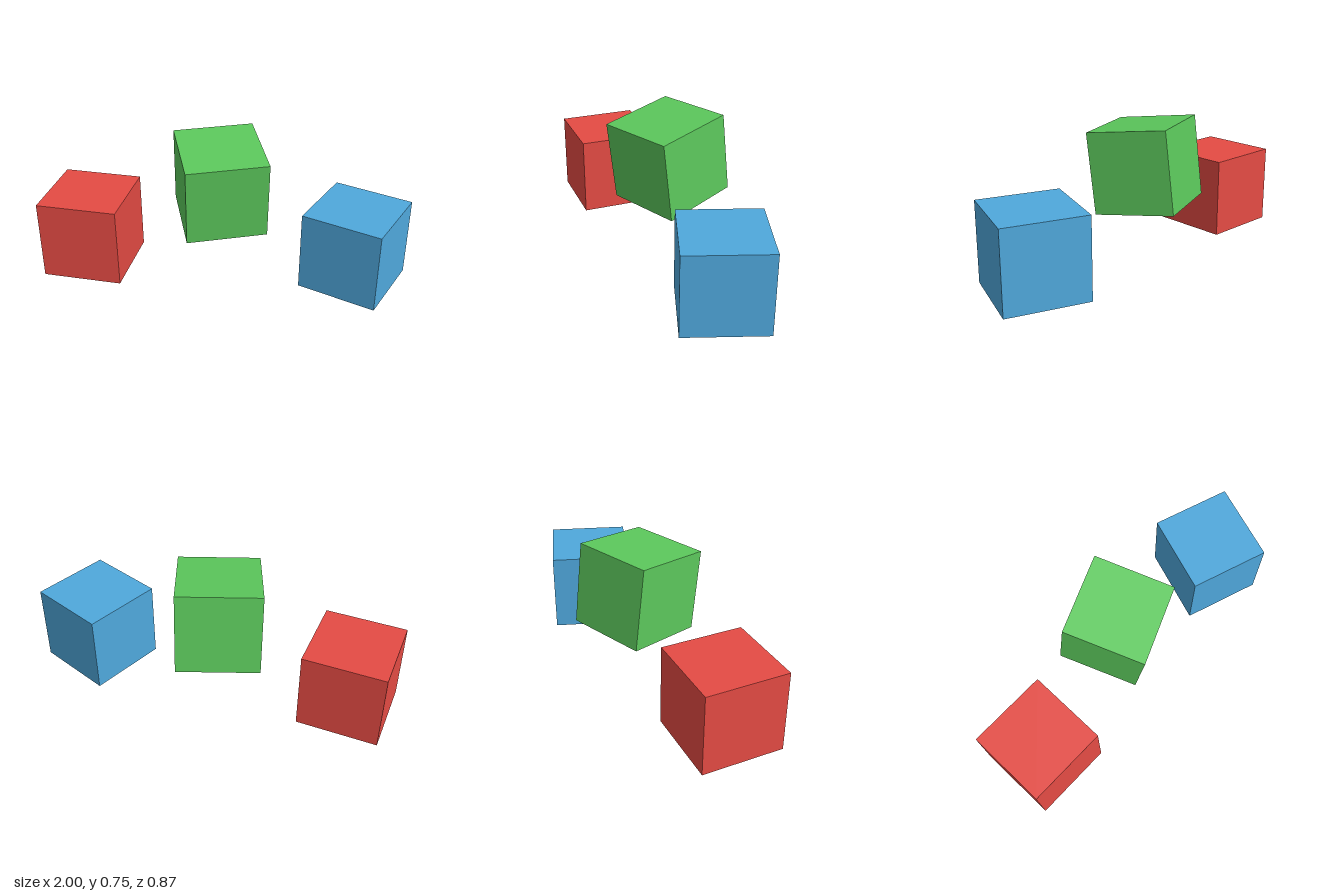
import * as THREE from 'three';

const SIZE = 0.437;

// One solid-coloured cube, placed by its centre and rotation
function cube(name, color, position, rotation) {
  const mesh = new THREE.Mesh(
    new THREE.BoxGeometry(SIZE, SIZE, SIZE),
    new THREE.MeshStandardMaterial({ color })
  );
  mesh.name = name;
  mesh.position.set(...position);
  mesh.rotation.set(...rotation);
  return mesh;
}

export function createModel() {
  const model = new THREE.Group();
  model.name = 'cubes';
  model.add(
    // Two cubes resting on the ground, each turned about the vertical
    cube('redCube', 0xe54b44, [-0.73, SIZE / 2, -0.168], [0, -0.277, 0]),
    cube('blueCube', 0x4fa8dc, [0.694, SIZE / 2, 0.128], [0, -0.611, 0]),
    // Tilted cube floating between them
    cube('greenCube', 0x5cc85c, [-0.018, 0.505, -0.091], [0.12, 0.12, 0])
  );
  return model;
}
